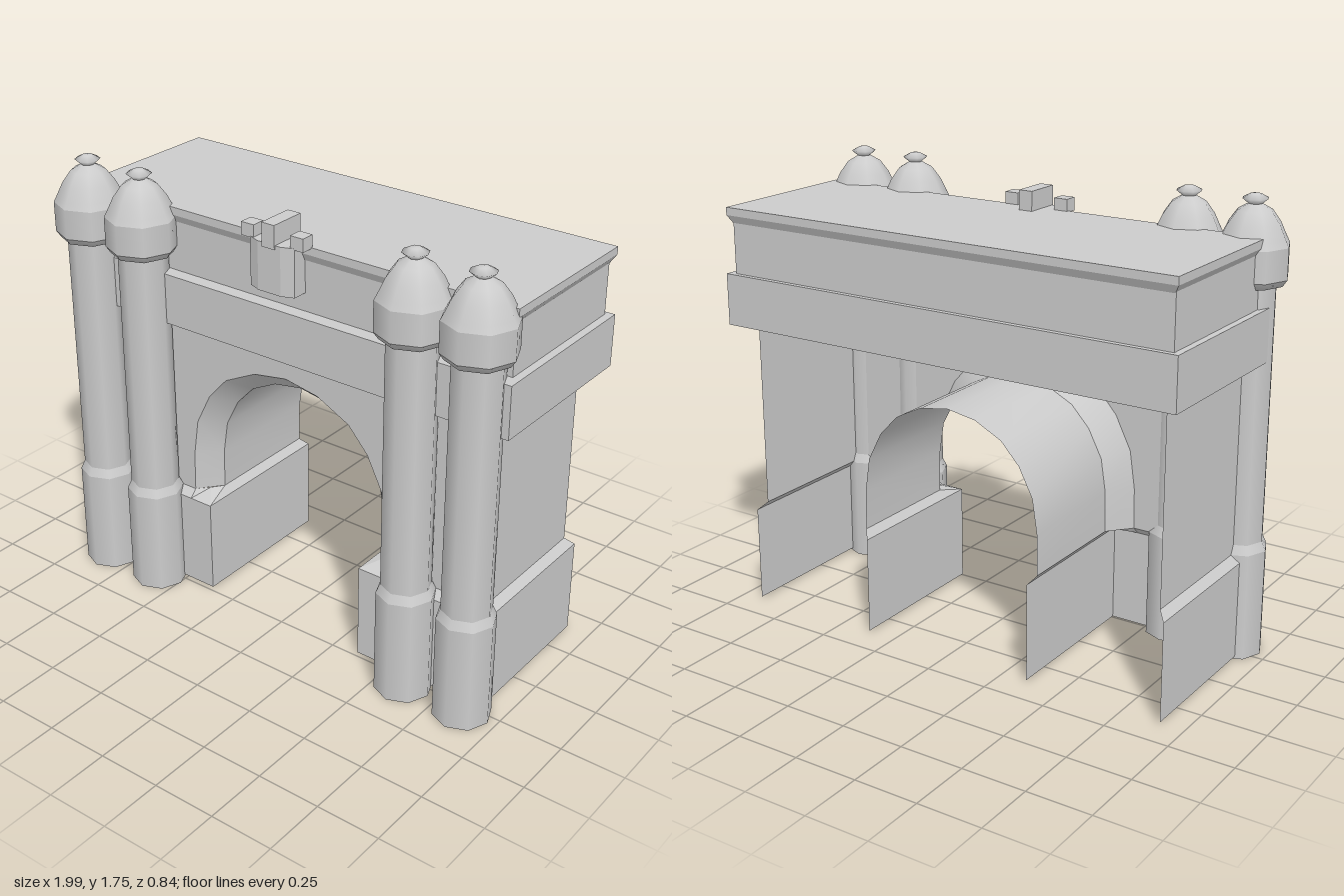
import * as THREE from 'three';

const FLAT = new THREE.MeshStandardMaterial({ color: 0xcccccc, flatShading: true, side: THREE.DoubleSide });
const SMOOTH = new THREE.MeshStandardMaterial({ color: 0xcccccc, side: THREE.DoubleSide });

function add(parent, name, geometry, material = FLAT) {
  const mesh = new THREE.Mesh(geometry, material);
  mesh.name = name;
  parent.add(mesh);
  return mesh;
}

// Box given by its limits on each axis
function block(x0, x1, y0, y1, z0, z1) {
  return new THREE.BoxGeometry(x1 - x0, y1 - y0, z1 - z0)
    .translate((x0 + x1) / 2, (y0 + y1) / 2, (z0 + z1) / 2);
}

// Open skin stretched over rows of [x, y, z] points
function loft(rows) {
  const n = rows[0].length, index = [];
  for (let r = 0; r < rows.length - 1; r++) {
    for (let i = 0; i < n - 1; i++) {
      const a = r * n + i, b = a + 1, c = a + n, d = c + 1;
      index.push(a, b, d, a, d, c);
    }
  }
  const g = new THREE.BufferGeometry();
  g.setAttribute('position', new THREE.Float32BufferAttribute(rows.flat(2), 3));
  g.setIndex(index);
  g.computeVertexNormals();
  return g;
}

// Half of an arch mirrored into a full line, from +x over the crown to -x
const fullArch = half => [...half, ...half.slice(0, -1).reverse().map(([x, y]) => [-x, y])];

function makeColumn(x) {
  const column = new THREE.Group();
  column.name = 'column';
  const pieces = {
    plinth: [[0.11, 0], [0.11, 0.42]],
    plinthSlope: [[0.11, 0.42], [0.094, 0.455]],
    shaft: [[0.094, 0.455], [0.094, 1.43]],
    capitalUnderside: [[0.09, 1.425], [0.118, 1.425], [0.135, 1.45]],
    capitalDrum: [[0.135, 1.45], [0.135, 1.565]],
    dome: [[0.135, 1.565], [0.122, 1.59], [0.098, 1.64], [0.065, 1.685], [0.025, 1.708]],
    finial: [[0.025, 1.708], [0.048, 1.727], [0.02, 1.742], [0, 1.745]],
  };
  for (const [name, profile] of Object.entries(pieces)) {
    const points = profile.map(([r, y]) => new THREE.Vector2(r, y));
    add(column, name, new THREE.LatheGeometry(points, 8), SMOOTH);
  }
  column.position.set(x, 0, 0.287);
  return column;
}

export function createModel() {
  const model = new THREE.Group();
  model.name = 'gateway';

  const outer = fullArch([[0.46, 0.42], [0.457, 0.58], [0.435, 0.73], [0.37, 0.86], [0.285, 0.955], [0.145, 1.025], [0, 1.05]]);
  const inner = fullArch([[0.385, 0.42], [0.382, 0.58], [0.362, 0.71], [0.305, 0.82], [0.23, 0.9], [0.12, 0.955], [0, 0.975]]);
  const front = 0.21, throat = 0.12, back = -0.36;

  // Front wall with the arch cut out of it
  const wall = new THREE.Shape();
  [[-0.88, 0.42], [-0.88, 1.16], [0.88, 1.16], [0.88, 0.42], ...outer]
    .forEach(([x, y], i) => (i ? wall.lineTo(x, y) : wall.moveTo(x, y)));
  add(model, 'frontWall', new THREE.ShapeGeometry(wall).translate(0, 0, front));

  // Splayed arch surround and the vault behind it
  const at = (line, z) => line.map(([x, y]) => [x, y, z]);
  add(model, 'archSplay', loft([at(outer, front), at(inner, throat)]), SMOOTH);
  add(model, 'archVault', loft([at(inner, throat), at(inner, back)]), SMOOTH);

  // Pier bases, open at the back, and the side walls above them
  const foot = [[0.91, -0.39], [0.91, 0.24], [0.46, 0.24], [0.36, 0.24], [0.36, 0.12], [0.36, -0.39]];
  const ledge = [[0.88, back], [0.88, front], [0.46, front], [0.42, 0.165], [0.385, throat], [0.385, back]];
  for (const s of [1, -1]) {
    const row = (plan, y) => plan.map(([x, z]) => [s * x, y, z]);
    add(model, 'pierBase', loft([row(foot, 0.01), row(foot, 0.39)]));
    add(model, 'pierBaseSlope', loft([row(foot, 0.39), row(ledge, 0.42)]));
    const side = ledge.slice(0, 2);
    add(model, 'sideWall', loft([row(side, 0.42), row(side, 1.16)]));
  }

  // Entablature band, attic and cornice
  add(model, 'entablature', block(-0.945, 0.975, 1.15, 1.35, -0.42, 0.27));
  add(model, 'attic', block(-0.92, 0.945, 1.35, 1.56, -0.4, 0.215));
  add(model, 'roofSlab', block(-0.935, 0.965, 1.575, 1.605, -0.415, 0.232));
  const flare = block(-0.935, 0.965, 1.545, 1.575, -0.415, 0.232);
  const p = flare.attributes.position;
  for (let i = 0; i < p.count; i++) {
    if (p.getY(i) > 1.56) continue;
    p.setX(i, p.getX(i) - 0.018 * Math.sign(p.getX(i)));
    p.setZ(i, p.getZ(i) - 0.015 * Math.sign(p.getZ(i)));
  }
  add(model, 'corniceFlare', flare);

  // Crest: bowed shield with three small blocks on top
  const plan = new THREE.Shape([[-0.098, -0.2], [-0.098, -0.275], [-0.05, -0.293], [0.05, -0.293], [0.098, -0.275], [0.098, -0.2]]
    .map(([x, y]) => new THREE.Vector2(x, y)));
  const shield = new THREE.ExtrudeGeometry(plan, { depth: 0.185, bevelEnabled: false });
  add(model, 'crestShield', shield.rotateX(-Math.PI / 2).translate(0, 1.42, 0));
  add(model, 'crestCentreBlock', block(-0.028, 0.028, 1.59, 1.68, 0.15, 0.297));
  for (const s of [1, -1]) {
    add(model, 'crestSideBlock', block(-0.028, 0.028, 1.6, 1.65, 0.222, 0.276)).position.x = s * 0.108;
  }

  // Paired columns at each side
  for (const x of [-0.86, -0.603, 0.603, 0.86]) model.add(makeColumn(x));

  return model;
}
